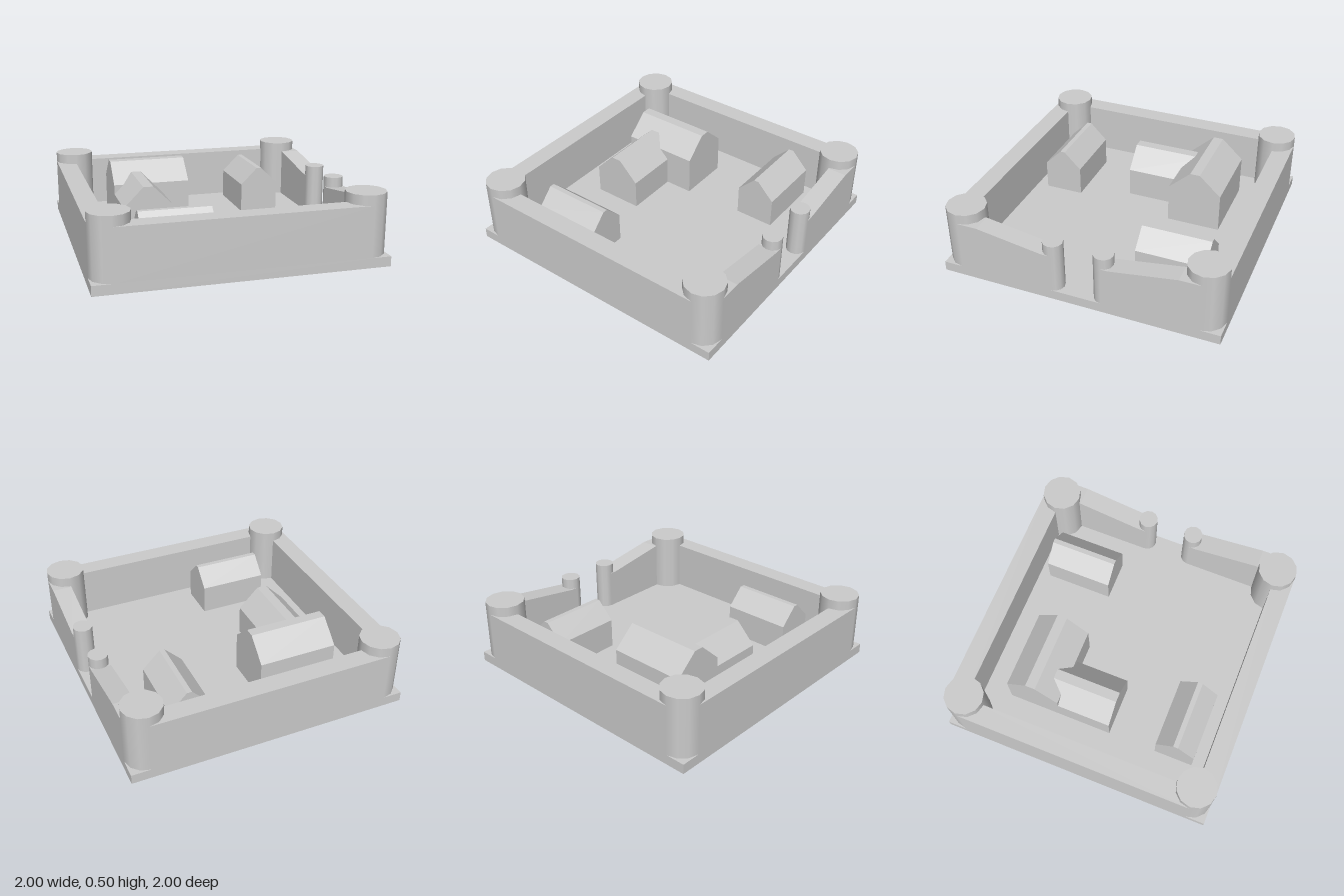
import * as THREE from 'three';

const FLOOR = 0.07, WALL_TOP = 0.43, TOWER_TOP = 0.5;
const EDGE = 0.86, RADIUS = 0.14;

export function createModel() {
  const model = new THREE.Group();
  model.name = 'walledSettlement';
  const material = new THREE.MeshStandardMaterial({ color: 0xcccccc });

  function add(name, geometry, x, y, z) {
    const mesh = new THREE.Mesh(geometry, material);
    mesh.name = name;
    mesh.position.set(x, y, z);
    model.add(mesh);
    return mesh;
  }

  // Extrudes an outline of [across, height] points, centred along its length
  function prism(points, length) {
    const shape = new THREE.Shape(points.map(([u, v]) => new THREE.Vector2(u, v)));
    return new THREE.ExtrudeGeometry(shape, { depth: length, bevelEnabled: false })
      .translate(0, 0, -length / 2);
  }

  function column(name, radius, top, x, z) {
    const height = top - FLOOR;
    add(name, new THREE.CylinderGeometry(radius, radius, height, 12), x, FLOOR + height / 2, z);
  }

  // House with a flat-topped ridge, running along x or z
  function house(name, { x, z, half, ridgeHalf, length, eave, ridge, alongX }) {
    const mesh = add(name, prism([
      [-half, FLOOR], [half, FLOOR], [half, eave],
      [ridgeHalf, ridge], [-ridgeHalf, ridge], [-half, eave],
    ], length), x, 0, z);
    if (alongX) mesh.rotation.y = Math.PI / 2;
  }

  // Ground slab
  add('basePlate', new THREE.BoxGeometry(2, FLOOR, 2), 0, FLOOR / 2, 0);

  // Three plain walls
  const height = WALL_TOP - FLOOR, middle = FLOOR + height / 2, centre = 1 - RADIUS / 2;
  const longWall = new THREE.BoxGeometry(2 * EDGE, height, RADIUS);
  add('frontWall', longWall, 0, middle, centre);
  add('backWall', longWall, 0, middle, -centre);
  add('rightWall', new THREE.BoxGeometry(RADIUS, height, 2 * EDGE), -centre, middle, 0);

  // Gate side: walls sloping down to a post on each side of the opening
  for (const side of [-1, 1]) {
    const wall = add('gateWall', prism([
      [-side * EDGE, FLOOR], [-side * 0.18, FLOOR], [-side * 0.18, 0.355],
      [-side * 0.235, 0.355], [-side * 0.71, WALL_TOP], [-side * EDGE, WALL_TOP],
    ], RADIUS), centre, 0, 0);
    wall.rotation.y = Math.PI / 2;
    column('gatePost', 0.07, WALL_TOP, centre, side * 0.18);
  }

  // Corner towers
  for (const sx of [-1, 1]) {
    for (const sz of [-1, 1]) column('cornerTower', RADIUS, TOWER_TOP, sx * EDGE, sz * EDGE);
  }

  // Main hall with its lower wing, then two cottages
  house('mainHall', { x: -0.355, z: -0.457, half: 0.195, ridgeHalf: 0.036, length: 0.57, eave: 0.355, ridge: 0.5, alongX: true });
  house('hallWing', { x: -0.46, z: -0.145, half: 0.18, ridgeHalf: 0.036, length: 0.55, eave: 0.285, ridge: 0.43 });
  house('frontCottage', { x: -0.39, z: 0.63, half: 0.143, ridgeHalf: 0.018, length: 0.5, eave: 0.285, ridge: 0.41, alongX: true });
  house('backCottage', { x: 0.508, z: -0.532, half: 0.143, ridgeHalf: 0.018, length: 0.495, eave: 0.285, ridge: 0.41 });

  return model;
}
